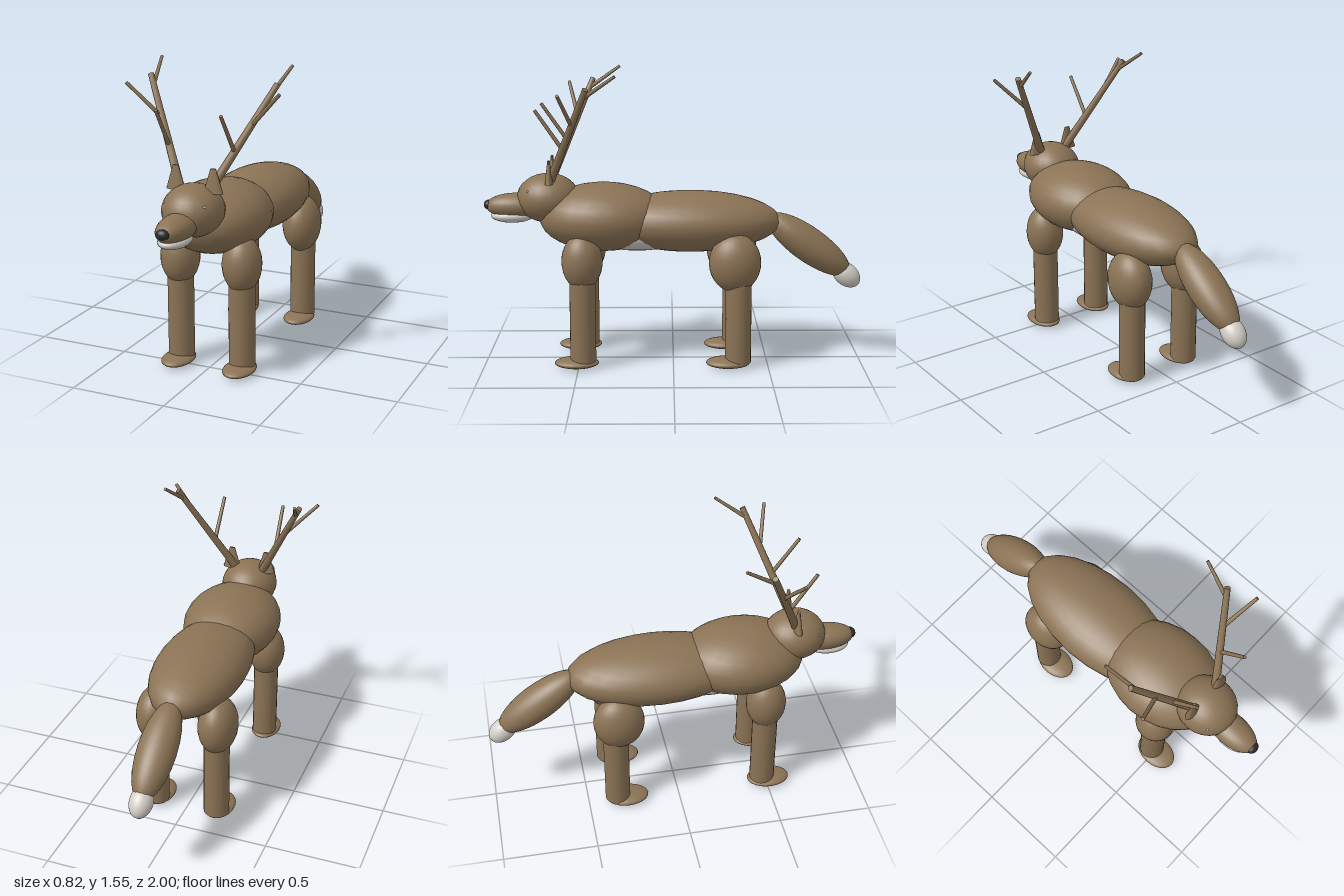
import * as THREE from 'three';

export function createModel() {
  const model = new THREE.Group();
  model.name = 'antleredAnimal';
  const mat = (name, color) => {
    const m = new THREE.MeshStandardMaterial({ color });
    m.name = name;
    return m;
  };
  const brown = mat('brown fur', 0x8b7355);
  const pale = mat('pale fur', 0xd3cdc6);
  const dark = mat('dark nose', 0x2b2b2b);
  const ball = new THREE.SphereGeometry(1, 24, 16);

  const add = (name, geometry, material, pos) => {
    const mesh = new THREE.Mesh(geometry, material);
    mesh.name = name;
    mesh.position.set(...pos);
    model.add(mesh);
    return mesh;
  };
  // Ellipsoid with given centre, radii and pitch
  const blob = (name, material, pos, radii, pitch = 0) => {
    const mesh = add(name, ball, material, pos);
    mesh.scale.set(...radii);
    mesh.rotation.x = pitch;
    return mesh;
  };
  // Tapered rod between two points
  const rod = (name, from, to, r0, r1) => {
    const a = new THREE.Vector3(...from), b = new THREE.Vector3(...to);
    const dir = b.clone().sub(a);
    const mesh = add(name, new THREE.CylinderGeometry(r1, r0, dir.length(), 10), brown,
      a.clone().add(b).multiplyScalar(0.5).toArray());
    mesh.quaternion.setFromUnitVectors(new THREE.Vector3(0, 1, 0), dir.normalize());
  };

  // Trunk
  blob('body', brown, [0, 0.755, -0.09], [0.24, 0.16, 0.48]);
  blob('chest', brown, [0, 0.78, 0.37], [0.26, 0.18, 0.34]);
  blob('belly', pale, [0, 0.7, 0.19], [0.172, 0.1, 0.3]);

  // Head
  blob('head', brown, [0, 0.88, 0.66], [0.153, 0.13, 0.165]);
  blob('snout', brown, [0, 0.838, 0.83], [0.083, 0.067, 0.16]);
  blob('jaw', pale, [0, 0.785, 0.85], [0.075, 0.037, 0.115]);
  blob('nose', dark, [0, 0.843, 0.975], [0.034, 0.026, 0.025]);

  // Tail
  blob('tail', brown, [0, 0.625, -0.72], [0.1, 0.093, 0.27], -0.62);
  blob('tailTip', pale, [0, 0.46, -0.925], [0.06, 0.06, 0.085], -0.68);

  for (const [side, s] of [['left', 1], ['right', -1]]) {
    blob(side + 'Eye', pale, [s * 0.107, 0.93, 0.757], [0.006, 0.006, 0.006]);
    const ear = add(side + 'Ear', new THREE.CylinderGeometry(0.015, 0.052, 0.12, 16), brown,
      [s * 0.1, 1.03, 0.645]);
    ear.scale.z = 0.42;

    // Antler with three tines
    rod(side + 'AntlerBeam', [s * 0.08, 0.98, 0.64], [s * 0.34, 1.48, 0.435], 0.022, 0.015);
    rod(side + 'AntlerFrontTine', [s * 0.175, 1.165, 0.57], [s * 0.17, 1.36, 0.705], 0.011, 0.009);
    rod(side + 'AntlerOuterTine', [s * 0.245, 1.29, 0.515], [s * 0.405, 1.455, 0.57], 0.011, 0.009);
    rod(side + 'AntlerTopTine', [s * 0.315, 1.43, 0.455], [s * 0.355, 1.545, 0.29], 0.011, 0.008);

    // Legs: name, upper z, lower z, foot z, upper radii, upper centre height
    const legs = [
      ['FrontLeg', 0.475, 0.475, 0.51, [0.1, 0.148, 0.107], 0.573],
      ['BackLeg', -0.32, -0.34, -0.288, [0.102, 0.155, 0.136], 0.565],
    ];
    for (const [name, zUpper, zLower, zFoot, radii, y] of legs) {
      blob(side + name + 'Upper', brown, [s * 0.171, y, zUpper], radii);
      add(side + name + 'Lower', new THREE.CylinderGeometry(0.068, 0.068, 0.45, 20), brown,
        [s * 0.171, 0.255, zLower]);
      blob(side + name + 'Foot', brown, [s * 0.172, 0.027, zFoot], [0.081, 0.027, 0.117]);
    }
  }
  return model;
}
